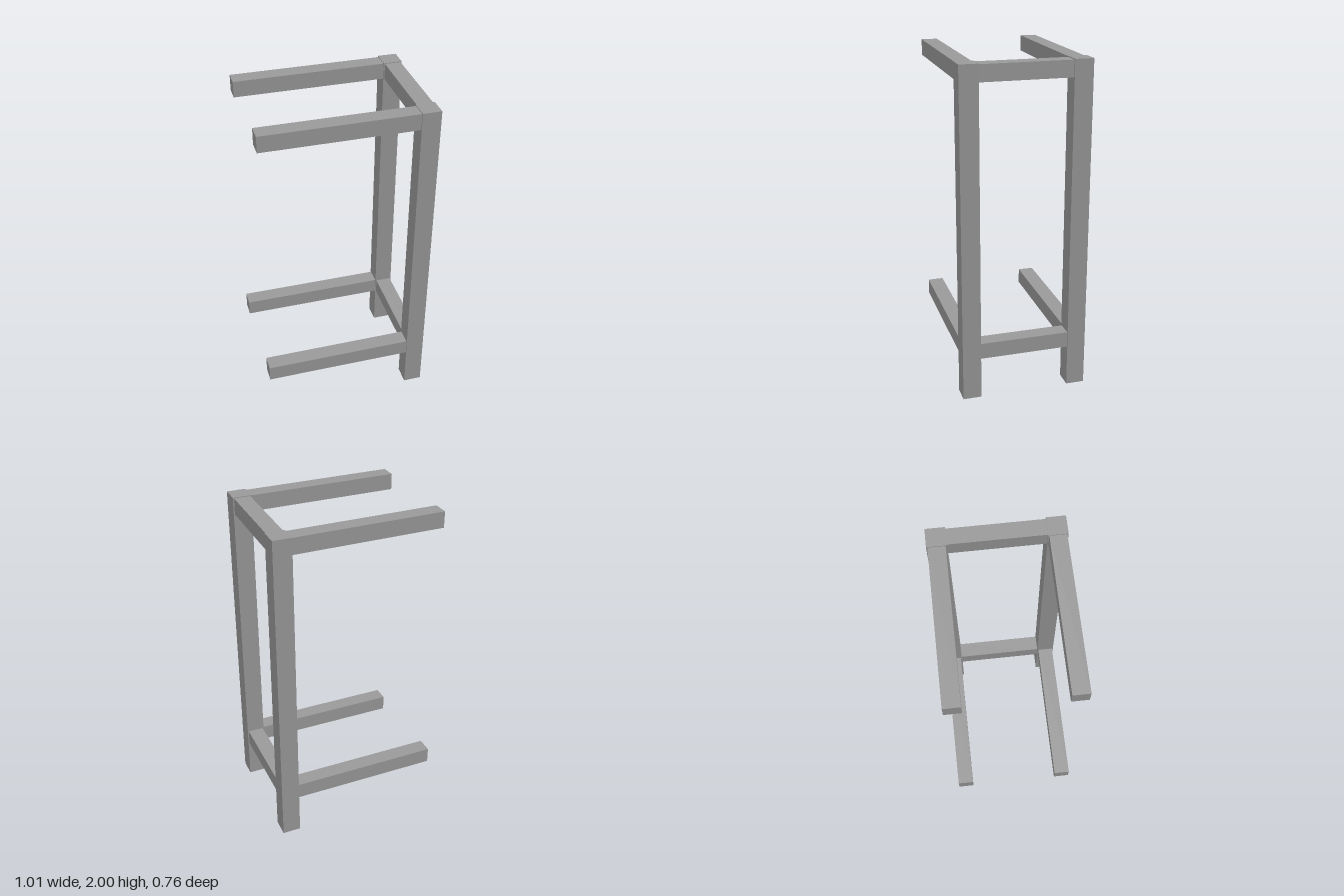
import * as THREE from 'three';

const material = new THREE.MeshStandardMaterial({ color: 0x999999 });

// Box given by its size and centre
function addBeam(parent, name, [w, h, d], [x, y, z]) {
  const mesh = new THREE.Mesh(new THREE.BoxGeometry(w, h, d), material);
  mesh.name = name;
  mesh.position.set(x, y, z);
  parent.add(mesh);
}

export function createModel() {
  const group = new THREE.Group();
  group.name = 'frame';

  const post = 0.111, rail = 0.097; // thicknesses
  const postX = 0.452, postZ = 0.326;
  const outerX = -0.507, innerX = postX - post / 2;
  const levels = { lower: 0.3, upper: 1.947 };

  // Upright posts
  for (const [side, s] of [['front', 1], ['back', -1]]) {
    addBeam(group, `${side}Post`, [post, 2, post], [postX, 1, s * postZ]);
  }

  for (const [level, y] of Object.entries(levels)) {
    // Long rails running out from each post
    for (const [side, s] of [['Front', 1], ['Back', -1]]) {
      addBeam(group, `${level}${side}Rail`,
        [innerX - outerX, rail, rail], [(innerX + outerX) / 2, y, s * postZ]);
    }
    // Short rail joining the two posts
    addBeam(group, `${level}CrossRail`, [rail, rail, 2 * postZ - post], [postX, y, 0]);
  }

  return group;
}
